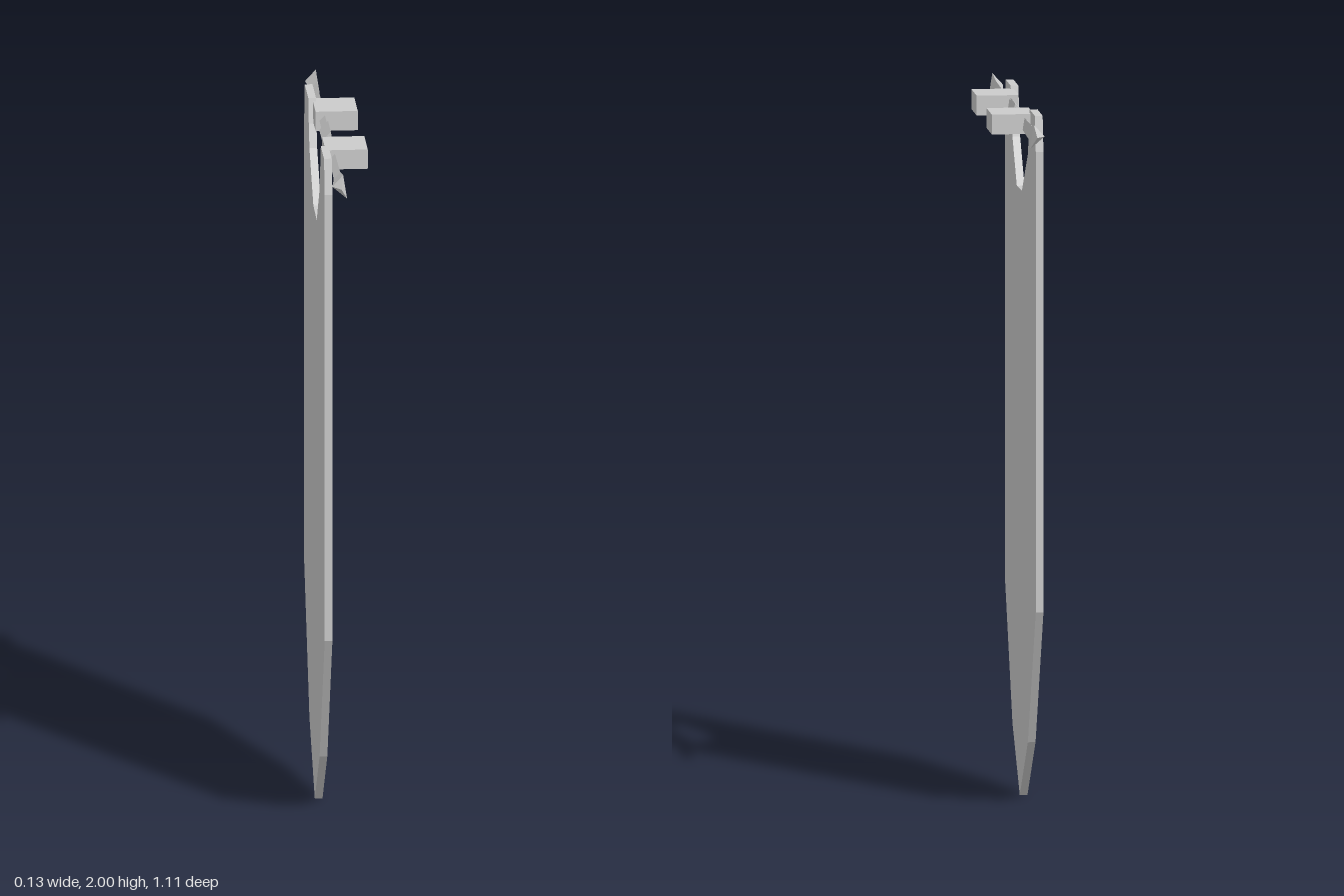
import * as THREE from 'three';

const material = new THREE.MeshStandardMaterial({ color: 0xcccccc, flatShading: true });

function add(group, name, geometry) {
  const mesh = new THREE.Mesh(geometry, material);
  mesh.name = name;
  group.add(mesh);
  return mesh;
}

// Triangular rod swept along z; each station is [z, scale]
function rodGeometry(stations) {
  const section = [[-0.024, 0], [0.018, -0.036], [0.007, 0.034]];
  const positions = [];
  const index = [];
  for (const [z, s] of stations) {
    for (const [x, y] of section) positions.push(-0.032 + x * s, 1.963 + y * s, z);
  }
  for (let i = 0; i < stations.length - 1; i++) {
    for (let j = 0; j < 3; j++) {
      const a = i * 3 + j, b = i * 3 + (j + 1) % 3;
      index.push(a, b, b + 3, a, b + 3, a + 3);
    }
  }
  const geometry = new THREE.BufferGeometry();
  geometry.setAttribute('position', new THREE.Float32BufferAttribute(positions, 3));
  geometry.setIndex(index);
  const flat = geometry.toNonIndexed();
  flat.computeVertexNormals();
  return flat;
}

export function createModel() {
  const group = new THREE.Group();
  group.name = 'hangingBanner';

  // Cloth with pointed hem and scooped neckline, outline as [z, y]
  const outline = [
    [0.015, 0], [-0.19, 0.18], [-0.39, 0.58], [-0.39, 1.9], [-0.37, 2], [-0.235, 2],
    [-0.215, 1.93], [-0.19, 1.865], [-0.04, 1.74], [0.09, 1.735], [0.2, 1.86],
    [0.24, 1.98], [0.245, 2], [0.37, 2], [0.395, 1.9], [0.395, 0.58], [0.2, 0.18],
  ];
  const shape = new THREE.Shape(outline.map(([z, y]) => new THREE.Vector2(-z, y)));
  const cloth = new THREE.ExtrudeGeometry(shape, { depth: 0.022, bevelEnabled: false });
  cloth.rotateY(Math.PI / 2).translate(-0.068, 0, 0);
  add(group, 'cloth', cloth);

  // Hanging rod with flared, pointed ends and a thick grip in the middle
  add(group, 'rod', rodGeometry([
    [-0.555, 0], [-0.525, 1], [-0.45, 0.6], [-0.27, 0.5], [-0.04, 0.5], [-0.04, 0.8],
    [0.07, 0.8], [0.07, 0.5], [0.27, 0.5], [0.45, 0.6], [0.525, 1], [0.555, 0],
  ]));

  // Two wall brackets
  for (const [name, z] of [['leftBracket', 0.188], ['rightBracket', -0.195]]) {
    add(group, name, new THREE.BoxGeometry(0.12, 0.057, 0.134)).position.set(0.005, 1.962, z);
  }

  return group;
}
